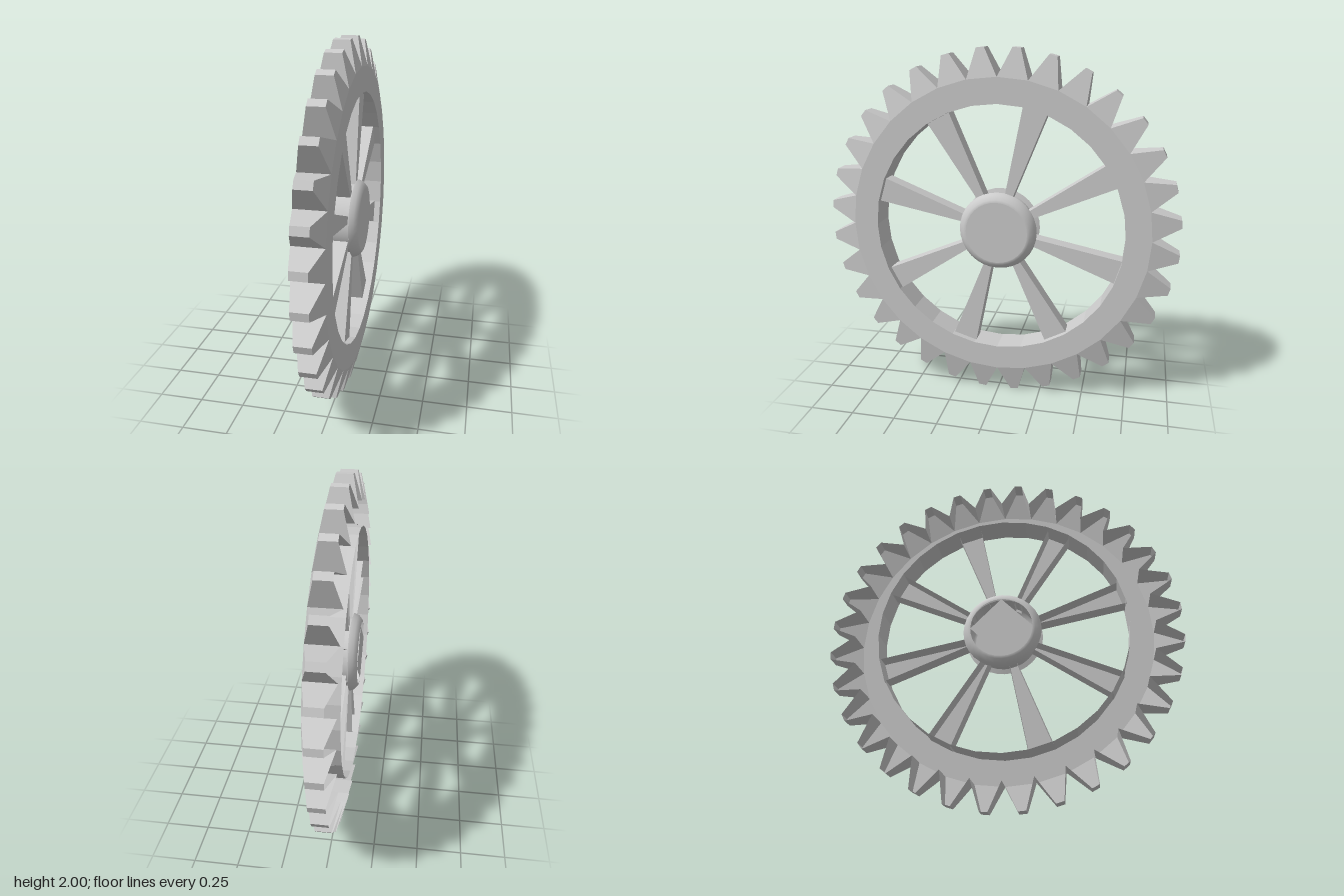
import * as THREE from 'three';

const TEETH = 32, SPOKES = 8, CENTRE_Y = 1;
const HALF = 0.082, TIP_HALF = 0.045;          // half thickness at root and tip
const INNER = 0.71, ROOT = 0.85, TIP = 1.003;  // wheel radii

const flat = new THREE.MeshStandardMaterial({ color: 0xcccccc, flatShading: true, side: THREE.DoubleSide });
const smooth = new THREE.MeshStandardMaterial({ color: 0xcccccc, side: THREE.DoubleSide });

// Point on the wheel: x along the axle, radius r, angle a from +z towards +y
const at = (x, r, a) => [x, r * Math.sin(a), r * Math.cos(a)];

// Collects flat quads and turns them into one mesh
function quadMesh(name, fill) {
  const pos = [];
  fill((a, b, c, d) => pos.push(...a, ...b, ...c, ...a, ...c, ...d));
  const geo = new THREE.BufferGeometry();
  geo.setAttribute('position', new THREE.Float32BufferAttribute(pos, 3));
  geo.computeVertexNormals();
  const mesh = new THREE.Mesh(geo, flat);
  mesh.name = name;
  return mesh;
}

// Calls fn with the start and end angle of every tooth
function eachTooth(fn) {
  const step = Math.PI * 2 / TEETH;
  for (let i = 0; i < TEETH; i++) fn(i * step, (i + 1) * step);
}

// Lathe around the axle from [radius, x] points
function turned(name, points) {
  const geo = new THREE.LatheGeometry(points.map(([r, x]) => new THREE.Vector2(r, x)), 32);
  geo.rotateZ(-Math.PI / 2);
  const mesh = new THREE.Mesh(geo, smooth);
  mesh.name = name;
  return mesh;
}

export function createModel() {
  const wheel = new THREE.Group();
  wheel.name = 'gearWheel';

  // Rim: one side plate and the inner wall, open on the -x side
  wheel.add(quadMesh('rim', quad => eachTooth((a0, a1) => {
    quad(at(HALF, INNER, a0), at(HALF, INNER, a1), at(HALF, ROOT, a1), at(HALF, ROOT, a0));
    quad(at(-HALF, INNER, a1), at(HALF, INNER, a1), at(HALF, INNER, a0), at(-HALF, INNER, a0));
  })));

  // Teeth: tapered wedges meeting at the root, hollow from the -x side
  wheel.add(quadMesh('teeth', quad => eachTooth((a0, a1) => {
    const mid = (a0 + a1) / 2, t0 = mid - 0.022, t1 = mid + 0.022;
    quad(at(HALF, ROOT, a0), at(HALF, ROOT, a1), at(TIP_HALF, TIP, t1), at(TIP_HALF, TIP, t0));
    quad(at(-HALF, ROOT, a0), at(HALF, ROOT, a0), at(TIP_HALF, TIP, t0), at(-TIP_HALF, TIP, t0));
    quad(at(HALF, ROOT, a1), at(-HALF, ROOT, a1), at(-TIP_HALF, TIP, t1), at(TIP_HALF, TIP, t1));
    quad(at(-TIP_HALF, TIP, t0), at(TIP_HALF, TIP, t0), at(TIP_HALF, TIP, t1), at(-TIP_HALF, TIP, t1));
  })));

  // Spokes: channels widening towards the rim, open on the -x side
  wheel.add(quadMesh('spokes', quad => {
    const d = 0.045, r0 = 0.18, r1 = 0.715, s0 = 0.02, s1 = 0.07;
    for (let i = 0; i < SPOKES; i++) {
      const dir = THREE.MathUtils.degToRad(16.5) + i * Math.PI * 2 / SPOKES;
      const p = (x, r, s) => at(x, Math.hypot(r, s), dir + Math.atan2(s, r));
      quad(p(d, r0, -s0), p(d, r0, s0), p(d, r1, s1), p(d, r1, -s1));
      quad(p(-d, r0, -s0), p(d, r0, -s0), p(d, r1, -s1), p(-d, r1, -s1));
      quad(p(d, r0, s0), p(-d, r0, s0), p(-d, r1, s1), p(d, r1, s1));
      quad(p(-d, r1, -s1), p(d, r1, -s1), p(d, r1, s1), p(-d, r1, s1));
    }
  }));

  // Hub: narrow waist between two bevelled flanges
  const hub = new THREE.Group();
  hub.name = 'hub';
  hub.add(turned('hubWaist', [[0.195, -0.05], [0.195, 0.05]]));
  for (const s of [-1, 1]) {
    const bevel = [[0.222, 0.055 * s], [0.212, 0.08 * s], [0.19, 0.1 * s], [0.175, 0.102 * s]];
    const lip = [[0.195, 0.048 * s], [0.222, 0.055 * s]];
    hub.add(turned('hubBevel', s > 0 ? bevel : bevel.reverse()));
    hub.add(turned('hubLip', s > 0 ? lip : lip.reverse()));
  }

  // Hub ends: a full disc on +x, a four-cornered plate on -x
  const cap = new THREE.Mesh(new THREE.CircleGeometry(0.175, 32).rotateY(Math.PI / 2), flat);
  cap.position.x = 0.102;
  cap.name = 'hubCap';
  const plate = new THREE.Mesh(new THREE.CircleGeometry(0.175, 4).rotateY(-Math.PI / 2), flat);
  plate.position.x = -0.102;
  plate.name = 'hubBackPlate';
  hub.add(cap, plate);
  wheel.add(hub);

  wheel.position.y = CENTRE_Y;
  const model = new THREE.Group();
  model.name = 'model';
  model.add(wheel);
  return model;
}
